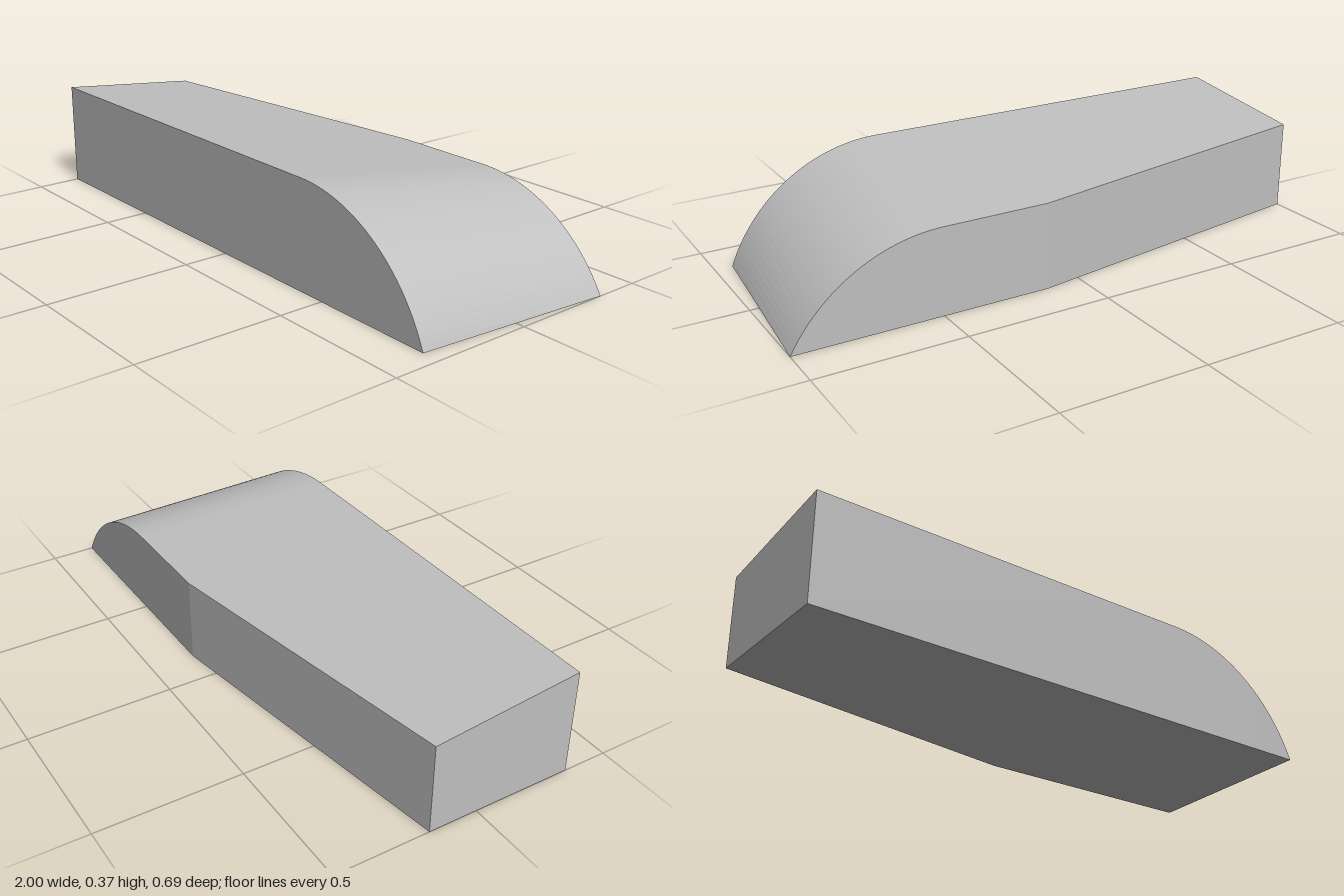
import * as THREE from 'three';
import { toCreasedNormals } from 'three/addons/utils/BufferGeometryUtils.js';

const HALF_DEPTH = 0.345;
const FRONT_HEIGHT = 0.369;
const BACK_HEIGHT = 0.296;
const RADIUS = 0.58; // rounded nose
const SEGMENTS = 32;

// Height of the sloping top at a given depth
const topHeight = (z) =>
  THREE.MathUtils.mapLinear(z, -HALF_DEPTH, HALF_DEPTH, BACK_HEIGHT, FRONT_HEIGHT);

// Four corners of a cross-section: front top, back top, back bottom, front bottom
const section = (xf, yf, xb, yb, zb) => [
  [xf, yf, HALF_DEPTH], [xb, yb, zb], [xb, 0, zb], [xf, 0, HALF_DEPTH],
];

// Point on a nose arc that is level at the top and ends on the ground at endX
function nosePoint(height, endX, t) {
  const sweep = Math.acos((RADIUS - height) / RADIUS);
  const startX = endX - RADIUS * Math.sin(sweep);
  const y = height - RADIUS * (1 - Math.cos(sweep * t));
  return [startX + RADIUS * Math.sin(sweep * t), t === 1 ? 0 : y];
}

function bodyGeometry() {
  // Tapered end, bend in the back wall, then the rounded nose
  const sections = [
    section(-1, FRONT_HEIGHT, -1, topHeight(-0.17), -0.17),
    section(0.13, FRONT_HEIGHT, 0.13, BACK_HEIGHT, -HALF_DEPTH),
  ];
  for (let i = 0; i <= SEGMENTS; i++) {
    const t = i / SEGMENTS;
    sections.push(section(
      ...nosePoint(FRONT_HEIGHT, 0.94, t), ...nosePoint(BACK_HEIGHT, 1, t), -HALF_DEPTH));
  }

  const positions = [];
  const triangle = (a, b, c) => positions.push(...a, ...b, ...c);

  // Flat end
  const [p, q, r, s] = sections[0];
  triangle(p, q, r);
  triangle(p, r, s);

  // Skin between neighbouring sections; the last one has no height
  for (let i = 0; i < sections.length - 1; i++) {
    const last = i === sections.length - 2;
    for (let j = 0; j < 4; j++) {
      const k = (j + 1) % 4;
      const a = sections[i][j], b = sections[i][k];
      const c = sections[i + 1][k], d = sections[i + 1][j];
      triangle(a, d, c);
      if (!(last && j === 4)) triangle(a, c, b);
    }
  }

  const geometry = new THREE.BufferGeometry();
  geometry.setAttribute('position', new THREE.Float32BufferAttribute(positions, 3));
  return toCreasedNormals(geometry, 0.1);
}

export function createModel() {
  const grey = new THREE.MeshStandardMaterial({ color: 0xbfbfbf });
  grey.name = 'light grey';

  const body = new THREE.Mesh(bodyGeometry(), grey);
  body.name = 'wedgeBody';

  const model = new THREE.Group();
  model.name = 'roundedWedge';
  model.add(body);
  return model;
}
